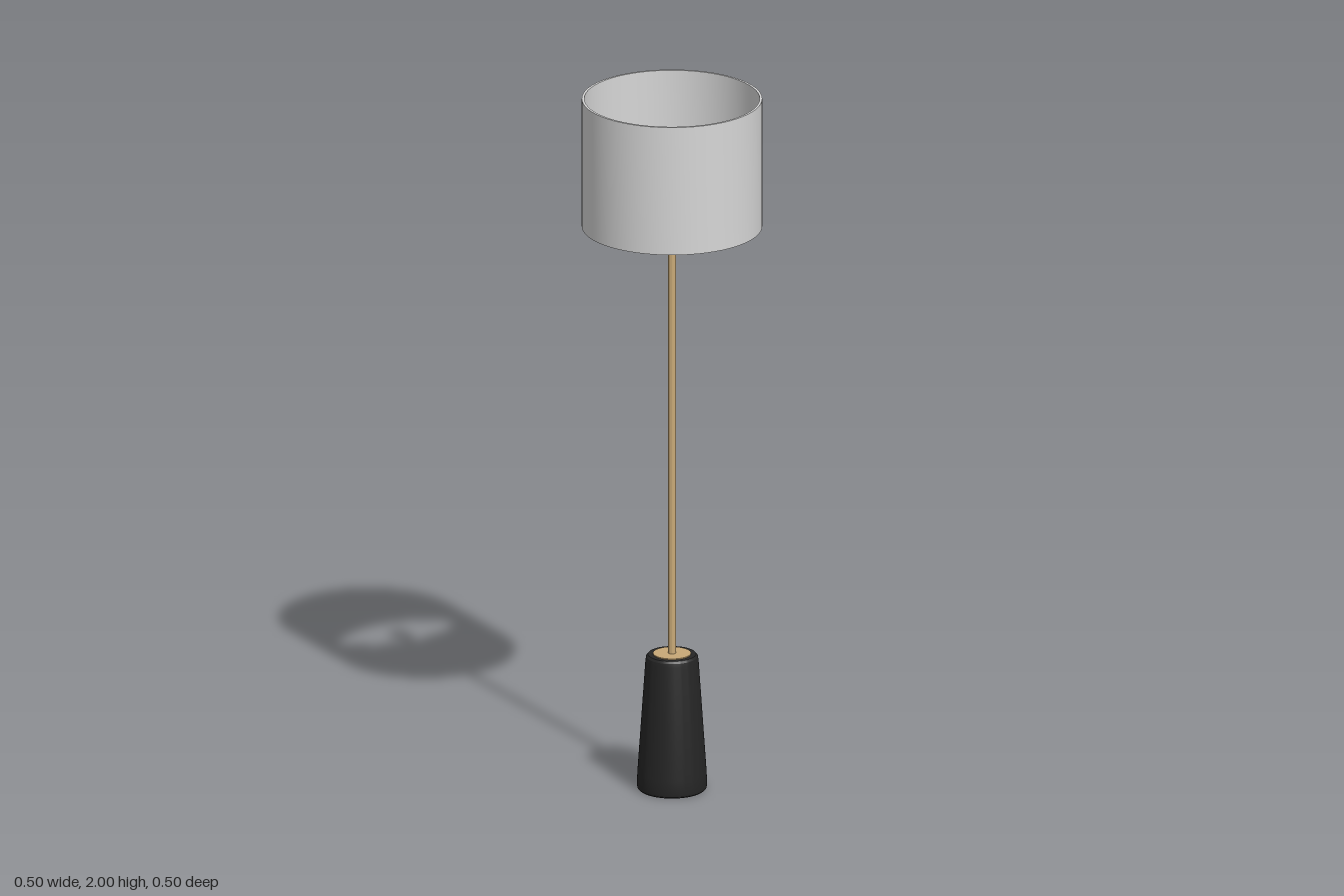
import * as THREE from 'three';
import { toCreasedNormals } from 'three/addons/utils/BufferGeometryUtils.js';

const material = (name, color) => {
  const m = new THREE.MeshStandardMaterial({ color });
  m.name = name;
  return m;
};

export function createModel() {
  const black = material('matte black', 0x252525);
  const brass = material('brushed brass', 0xc8a977);
  const white = material('shade white', 0xd6d6d6);

  const lamp = new THREE.Group();
  lamp.name = 'floorLamp';

  const add = (name, geometry, mat) => {
    const mesh = new THREE.Mesh(geometry, mat);
    mesh.name = name;
    lamp.add(mesh);
    return mesh;
  };

  // Turned parts: profile of [radius, height] pairs, with sharp edges kept
  const turn = (name, profile, mat, segments = 64) => {
    const points = profile.map(([r, y]) => new THREE.Vector2(r, y));
    return add(name, toCreasedNormals(new THREE.LatheGeometry(points, segments), 0.5), mat);
  };

  // Tapered base with softened edges
  turn('base', [
    [0, 0], [0.091, 0], [0.095, 0.004], [0.0965, 0.012], [0.095, 0.05],
    [0.073, 0.372], [0.071, 0.383], [0.066, 0.389], [0, 0.389],
  ], black);

  // Brass plate set in the top of the base
  turn('basePlate', [[0.052, 0.386], [0.052, 0.392], [0, 0.392]], brass);

  // Pole and the socket collar at its top
  turn('pole', [[0.011, 0.388], [0.011, 1.69]], brass, 32);
  turn('socket', [
    [0, 1.67], [0.016, 1.67], [0.016, 1.69], [0.02, 1.694], [0.02, 1.712],
    [0.016, 1.716], [0.016, 1.735], [0, 1.735],
  ], brass, 32);

  // Bulb: narrow neck widening into a round top
  const bulbProfile = [[0.013, 1.735], [0.014, 1.75], [0.022, 1.772]];
  for (let i = 0; i <= 10; i++) {
    const a = -0.45 + (i / 10) * (Math.PI / 2 + 0.45);
    bulbProfile.push([Math.max(0, 0.029 * Math.cos(a)), 1.795 + 0.029 * Math.sin(a)]);
  }
  turn('bulb', bulbProfile, white, 32);

  // Open drum shade with a thin wall
  turn('shade', [
    [0.241, 1.63], [0.248, 1.63], [0.248, 2], [0.241, 2], [0.241, 1.63],
  ], white);

  // Three spokes sloping from the socket down to the shade's lower edge
  for (let i = 0; i < 3; i++) {
    const a = (i / 3) * Math.PI * 2;
    const at = (r, y) => new THREE.Vector3(r * Math.sin(a), y, r * Math.cos(a));
    const path = new THREE.LineCurve3(at(0.015, 1.703), at(0.243, 1.64));
    add('shadeSpoke' + (i + 1), new THREE.TubeGeometry(path, 1, 0.0025, 8), brass);
  }

  return lamp;
}
